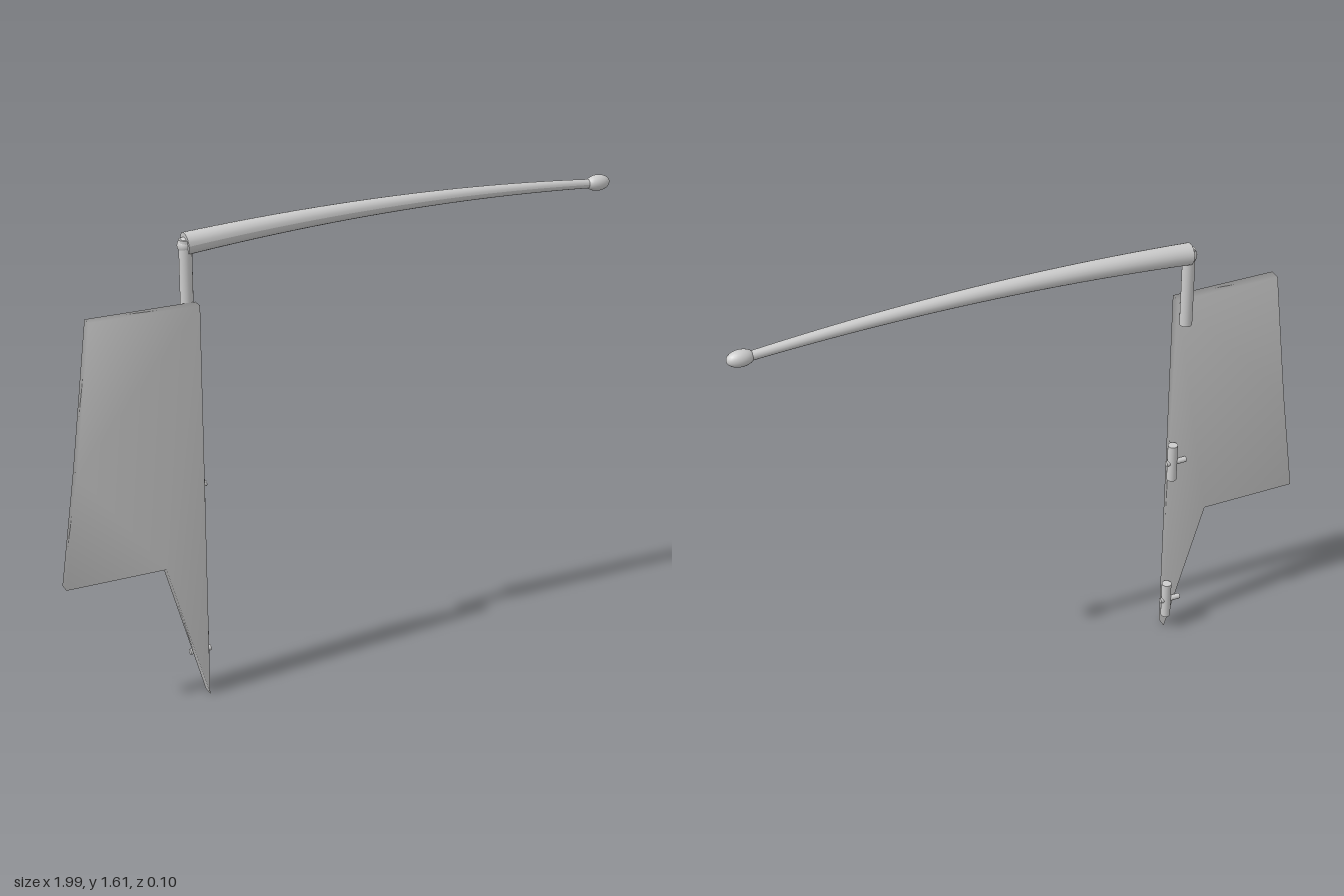
import * as THREE from 'three';
import { mergeVertices } from 'three/addons/utils/BufferGeometryUtils.js';

export function createModel() {
  const model = new THREE.Group();
  model.name = 'rudder';
  const grey = new THREE.MeshStandardMaterial({ color: 0xcccccc });
  grey.name = 'light grey';

  const Z = -0.01; // hinge line depth

  function add(name, geometry, x = 0, y = 0, z = 0) {
    const mesh = new THREE.Mesh(geometry, grey);
    mesh.name = name;
    mesh.position.set(x, y, z);
    model.add(mesh);
    return mesh;
  }

  // Flat blade with softly shaded, shared corners
  const outline = [
    [-0.52, 0], [-0.52, 1.37], [-0.885, 1.37], [-0.945, 0.88], [-1, 0.49], [-0.66, 0.49],
  ].map(([x, y]) => new THREE.Vector2(x, y));
  let blade = new THREE.ExtrudeGeometry(new THREE.Shape(outline), { depth: 0.038, bevelEnabled: false });
  blade.deleteAttribute('uv');
  blade.deleteAttribute('normal');
  blade = mergeVertices(blade, 1e-4);
  blade.computeVertexNormals();
  add('blade', blade, 0, 0, 0.011);

  // Upright post joining blade and tiller
  add('post', new THREE.CylinderGeometry(0.021, 0.021, 0.28, 20), -0.54, 1.43, Z);

  // Curved tapering tiller: rings swept along a gentle arch
  const path = new THREE.QuadraticBezierCurve3(
    new THREE.Vector3(-0.54, 1.555, -0.013),
    new THREE.Vector3(0.2, 1.615, -0.013),
    new THREE.Vector3(0.92, 1.555, -0.015),
  );
  const tillerGeometry = new THREE.CylinderGeometry(0.015, 0.036, 1, 20, 24);
  const position = tillerGeometry.attributes.position;
  const sideways = new THREE.Vector3(0, 0, 1);
  for (let i = 0; i < position.count; i++) {
    const t = THREE.MathUtils.clamp(position.getY(i) + 0.5, 0, 1);
    const up = new THREE.Vector3().crossVectors(sideways, path.getTangent(t)).normalize();
    const p = path.getPoint(t)
      .addScaledVector(up, -position.getX(i))
      .addScaledVector(sideways, position.getZ(i));
    position.setXYZ(i, p.x, p.y, p.z);
  }
  // Recompute normals while keeping the cap edges crisp
  tillerGeometry.computeVertexNormals();
  add('tiller', tillerGeometry);

  // Rounded joint and end knob
  add('tillerJoint', new THREE.SphereGeometry(0.026, 18, 12), -0.539, 1.55, -0.013);
  add('tillerKnob', new THREE.SphereGeometry(0.027, 20, 14), 0.95, 1.555, -0.014).scale.x = 1.65;

  // Two hinges, each a barrel with a cross pin
  for (const [name, y] of [['upperHinge', 0.74], ['lowerHinge', 0.14]]) {
    add(name + 'Barrel', new THREE.CylinderGeometry(0.017, 0.017, 0.14, 18), -0.515, y, -0.007);
    add(name + 'Pin', new THREE.CylinderGeometry(0.01, 0.01, 0.073, 12), -0.528, y, -0.009).rotation.z = Math.PI / 2;
  }

  return model;
}
